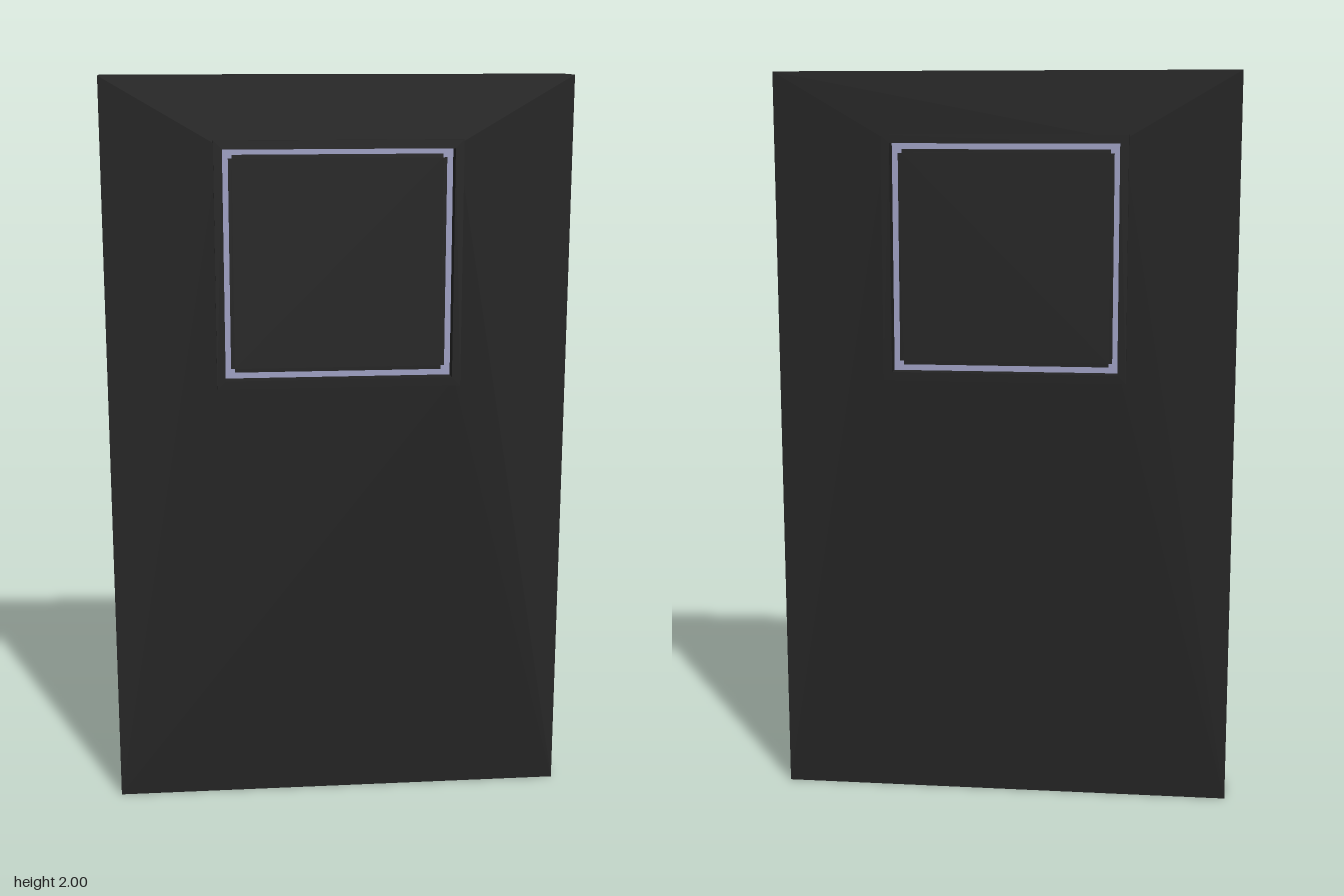
import * as THREE from 'three';

const doorMat = new THREE.MeshStandardMaterial({ name: 'charcoal', color: 0x232323 });
const sealMat = new THREE.MeshStandardMaterial({ name: 'lavender grey', color: 0x9fa1c4 });

const WINDOW_Y = 1.505;

// Rectangle outline; notch > 0 cuts a small square out of each corner
function rect(path, w, h, cy, notch = 0) {
  const x = w / 2, y = h / 2, n = notch;
  const points = n
    ? [[-x + n, -y], [x - n, -y], [x - n, -y + n], [x, -y + n], [x, y - n], [x - n, y - n],
       [x - n, y], [-x + n, y], [-x + n, y - n], [-x, y - n], [-x, -y + n], [-x + n, -y + n]]
    : [[-x, -y], [x, -y], [x, y], [-x, y]];
  path.setFromPoints(points.map(([px, py]) => new THREE.Vector2(px, py + cy)));
  return path;
}

// Slab centred on z = 0, with an optional opening
function slab(name, shape, depth, material, hole) {
  if (hole) shape.holes.push(hole);
  const geometry = new THREE.ExtrudeGeometry(shape, { depth, bevelEnabled: false });
  geometry.translate(0, 0, -depth / 2);
  const mesh = new THREE.Mesh(geometry, material);
  mesh.name = name;
  return mesh;
}

export function createModel() {
  const door = new THREE.Group();
  door.name = 'door';

  // Door leaf with the window opening
  door.add(slab('doorLeaf', rect(new THREE.Shape(), 1.244, 2, 1), 0.13, doorMat,
    rect(new THREE.Path(), 0.63, 0.63, WINDOW_Y)));

  // Raised frame on both faces, lining the opening
  door.add(slab('windowFrame', rect(new THREE.Shape(), 0.66, 0.66, WINDOW_Y), 0.155, doorMat,
    rect(new THREE.Path(), 0.614, 0.614, WINDOW_Y)));

  // Recessed pale seal around the pane
  door.add(slab('windowSeal', rect(new THREE.Shape(), 0.614, 0.614, WINDOW_Y), 0.074, sealMat,
    rect(new THREE.Path(), 0.582, 0.582, WINDOW_Y, 0.01)));

  // Dark pane with notched corners
  door.add(slab('windowPane', rect(new THREE.Shape(), 0.582, 0.582, WINDOW_Y, 0.01), 0.076, doorMat));

  return door;
}
